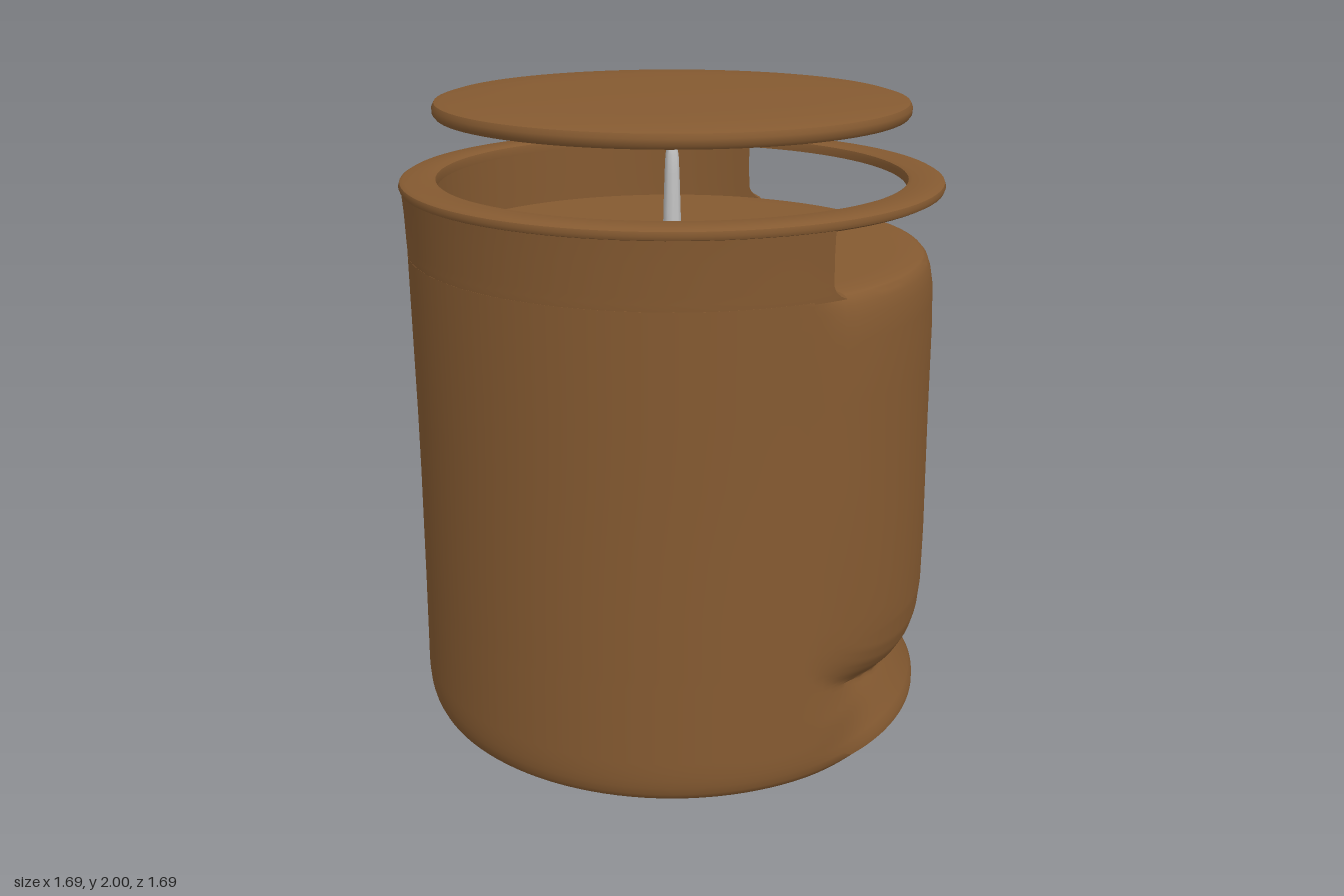
import * as THREE from 'three';
import { toCreasedNormals } from 'three/addons/utils/BufferGeometryUtils.js';

const { clamp, smoothstep, lerp } = THREE.MathUtils;

// Surface through closed rings of points, listed from bottom to top.
function loft(rings, crease) {
  const n = rings[0].length, index = [];
  for (let i = 0; i < rings.length - 1; i++) {
    for (let j = 0; j < n; j++) {
      const k = (j + 1) % n;
      const a = i * n + j, b = (i + 1) * n + j, c = (i + 1) * n + k, d = i * n + k;
      index.push(a, b, c, a, c, d);
    }
  }
  const g = new THREE.BufferGeometry();
  g.setAttribute('position', new THREE.Float32BufferAttribute(rings.flat(2), 3));
  g.setIndex(index);
  return toCreasedNormals(g, crease);
}

// Piecewise linear radius along a [y, radius] profile.
function sample(profile, y) {
  for (let i = 1; i < profile.length; i++) {
    const [y0, r0] = profile[i - 1], [y1, r1] = profile[i];
    if (y <= y1) return lerp(r0, r1, clamp((y - y0) / (y1 - y0), 0, 1));
  }
  return profile[profile.length - 1][1];
}

const PLAIN = [[0, 0.8], [0.012, 0.82], [0.04, 0.833], [0.1, 0.838], [0.4, 0.833], [0.9, 0.827], [1.52, 0.83]];
const BULGE = [[0, 0.78], [0.012, 0.81], [0.03, 0.831], [0.055, 0.83], [0.1, 0.808], [0.205, 0.757], [0.225, 0.775],
  [0.25, 0.797], [0.29, 0.82], [0.34, 0.834], [0.42, 0.841], [0.6, 0.841], [1, 0.833], [1.3, 0.829],
  [1.42, 0.823], [1.47, 0.814], [1.5, 0.803], [1.515, 0.79], [1.52, 0.775]];
const SLOT_ANGLE = 1.12;

// Full body: a plain drum that turns into a bulge above a groove on the +x side.
function bodyGeometry() {
  const columns = 120;
  const heights = [0, 0.012, 0.03, 0.055, 0.08, 0.11, 0.14];
  for (let y = 0.16; y < 0.44; y += 0.0125) heights.push(y);
  heights.push(0.5, 0.6, 0.8, 1, 1.2, 1.3, 1.38, 1.42, 1.45, 1.47, 1.485, 1.5, 1.51, 1.515, 1.52);
  const ring = (y, radius) => Array.from({ length: columns }, (_, j) => {
    const a = (j / columns) * Math.PI * 2;
    const r = radius(a > Math.PI ? Math.PI * 2 - a : a);
    return [r * Math.cos(a), y, r * Math.sin(a)];
  });
  const outer = heights.map((y) => ring(y, (a) => {
    const t = a / SLOT_ANGLE;
    const weight = 1 - smoothstep(t, y < 0.7 ? 0.7 : 0.92, 1.07);
    // The groove rises towards its two ends.
    const lift = 0.14 * Math.min(t, 1.1) ** 5 * smoothstep(y, 0.05, 0.2) * (1 - smoothstep(y, 0.6, 1));
    return lerp(sample(PLAIN, y), sample(BULGE, y - lift), weight);
  }));
  return loft([ring(0, () => 0.001), ring(0, () => 0.77), ...outer,
    ring(1.52, () => 0.7), ring(1.52, () => 0.001)], 0.7);
}

// Upper wall: an arc in plan, cut off flat on the +x side with a small fillet at its foot.
function wallGeometry() {
  const steps = 80;
  const ring = ([y, cut, outerR]) => {
    const points = [];
    for (const [r, forward] of [[outerR, true], [0.778, false]]) {
      const start = Math.acos(cut / r);
      for (let i = 0; i <= steps; i++) {
        const t = forward ? i / steps : 1 - i / steps;
        const a = lerp(start, Math.PI * 2 - start, t);
        points.push([r * Math.cos(a), y, r * Math.sin(a)]);
      }
    }
    return points;
  };
  return loft([[1.515, 0.405, 0.829], [1.525, 0.385, 0.83], [1.54, 0.368, 0.83], [1.56, 0.36, 0.831],
    [1.65, 0.358, 0.834], [1.72, 0.358, 0.839]].map(ring), 0.6);
}

function lathe(points, segments) {
  const profile = points.map(([x, y]) => new THREE.Vector2(x, y));
  return toCreasedNormals(new THREE.LatheGeometry(profile, segments), 0.7);
}

export function createModel() {
  const group = new THREE.Group();
  const brown = new THREE.MeshStandardMaterial({ name: 'warm brown', color: 0x855a31 });
  const grey = new THREE.MeshStandardMaterial({ name: 'light grey', color: 0xc4c4c4 });
  const add = (name, geometry, material) => {
    const mesh = new THREE.Mesh(geometry, material);
    mesh.name = name;
    group.add(mesh);
  };

  add('body', bodyGeometry(), brown);
  add('upperWall', wallGeometry(), brown);

  // Rim overhanging the wall and bridging the slot
  add('rim', lathe([[0.73, 1.712], [0.83, 1.71], [0.842, 1.716], [0.846, 1.727], [0.842, 1.739],
    [0.83, 1.746], [0.745, 1.747], [0.733, 1.742], [0.73, 1.732], [0.73, 1.712]], 96), brown);

  // Floating lid with a slightly domed top
  add('lid', lathe([[0.001, 1.935], [0.7, 1.93], [0.725, 1.932], [0.733, 1.942], [0.734, 1.96],
    [0.727, 1.974], [0.7, 1.982], [0.5, 1.991], [0.25, 1.998], [0.001, 2]], 96), brown);

  // Tapered wick standing in the filling
  add('wick', lathe([[0.03, 1.51], [0.028, 1.62], [0.024, 1.74], [0.021, 1.8], [0.015, 1.826],
    [0.001, 1.83]], 10), grey);

  return group;
}
